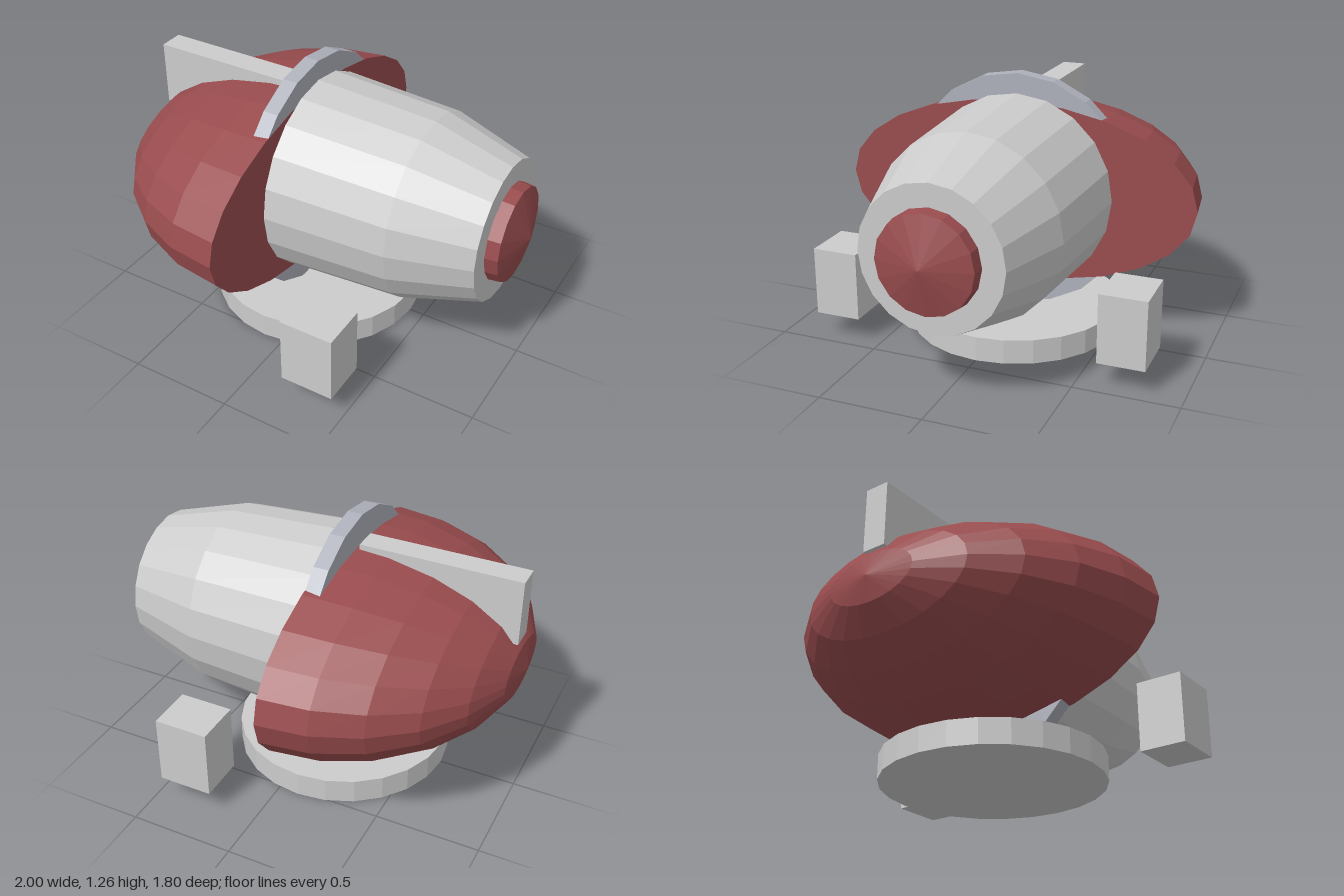
import * as THREE from 'three';

const AXIS_Y = 0.68; // height of the long horizontal axis

const paint = (color) => new THREE.MeshStandardMaterial({ color, flatShading: true });
const grey = paint(0xcccccc);
const red = paint(0x994c4e);
const steel = paint(0xaeb1bb);

export function createModel() {
  const model = new THREE.Group();

  const add = (name, geometry, material, x = 0, y = 0, z = 0) => {
    const mesh = new THREE.Mesh(geometry, material);
    mesh.name = name;
    mesh.position.set(x, y, z);
    model.add(mesh);
    return mesh;
  };

  // Turned solid lying along x; profile is [x, radius] from low x to high x
  const turned = (profile, sides) =>
    new THREE.LatheGeometry(profile.map(([x, r]) => new THREE.Vector2(r, x)), sides)
      .rotateZ(-Math.PI / 2);

  // Box given by its limits
  const block = (name, x0, x1, y0, y1, z0, z1) =>
    add(name, new THREE.BoxGeometry(x1 - x0, y1 - y0, z1 - z0), grey,
      (x0 + x1) / 2, (y0 + y1) / 2, (z0 + z1) / 2);

  // Round foot
  add('base', new THREE.CylinderGeometry(0.525, 0.525, 0.12, 24), grey, -0.1, 0.06, 0);

  // Wide flattened half ellipsoid, closed by a flat face
  const arc = [];
  for (let i = 0; i <= 6; i++) {
    const a = (i / 6) * Math.PI / 2;
    arc.push([-Math.cos(a) * 0.9, Math.sin(a) * 0.9]);
  }
  arc[0][1] = 0;
  arc.push([0, 0]);
  add('dome', turned(arc, 24).scale(1, 0.5, 1), red, -0.1, AXIS_Y, 0);

  // Collar between dome and barrel
  add('collar', turned([[-0.175, 0], [-0.175, 0.585], [-0.101, 0.585], [-0.101, 0]], 20),
    steel, 0, AXIS_Y, 0);

  // Tapering barrel
  add('barrel', turned([[-0.11, 0], [-0.11, 0.487], [0.5, 0.453], [0.88, 0.34], [0.88, 0]], 20),
    grey, 0, AXIS_Y, 0);

  // Pointed end cap
  add('noseCap', turned([[0.87, 0], [0.87, 0.236], [0.94, 0.228], [1, 0]], 16),
    red, 0, AXIS_Y, 0);

  // Upright fin on the dome
  block('fin', -0.96, -0.19, 0.83, 1.145, -0.06, 0.06);

  // Side blocks
  block('leftBlock', 0.2, 0.46, 0.12, 0.455, 0.6, 0.825);
  block('rightBlock', 0.2, 0.46, 0.12, 0.455, -0.825, -0.6);

  return model;
}
